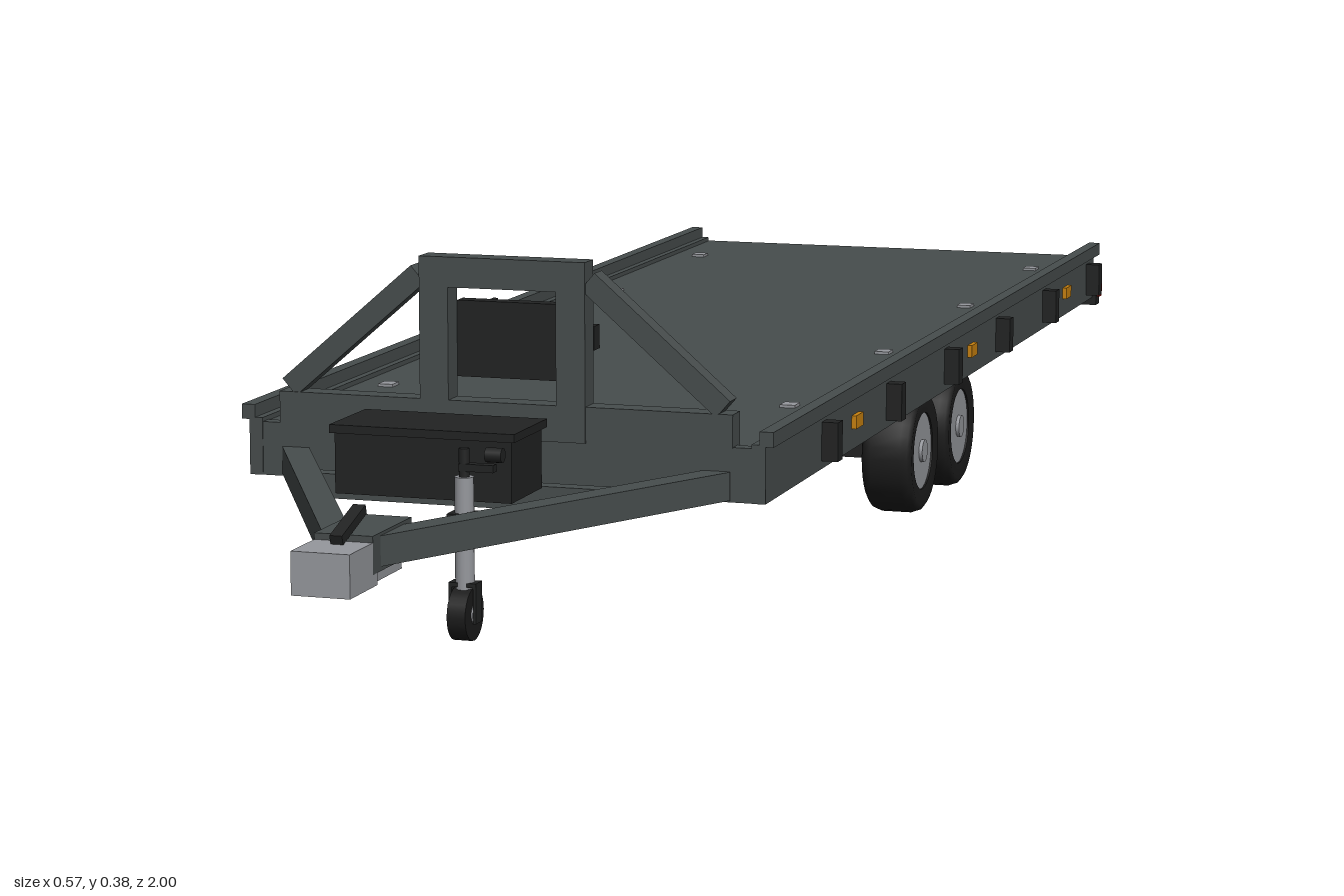
import * as THREE from 'three';

const mat = (name, color, side = THREE.FrontSide) => {
  const m = new THREE.MeshStandardMaterial({ color, side });
  m.name = name;
  return m;
};

export function createModel() {
  const root = new THREE.Group();
  root.name = 'flatbedTrailer';
  const steel = mat('darkGreySteel', 0x474d4d);
  const black = mat('blackPlastic', 0x222323);
  const rubber = mat('tyreRubber', 0x1c1c1c);
  const zinc = mat('zincGrey', 0x96989d);
  const amber = mat('amberLens', 0xc9820f);
  const red = mat('redLens', 0xb01a14);
  const white = mat('whiteLens', 0xc8c8c8);

  const add = (name, geo, m, x = 0, y = 0, z = 0) => {
    const mesh = new THREE.Mesh(geo, m);
    mesh.name = name;
    mesh.position.set(x, y, z);
    root.add(mesh);
    return mesh;
  };
  // box given by its limits
  const box = (name, m, x0, x1, y0, y1, z0, z1) =>
    add(name, new THREE.BoxGeometry(Math.abs(x1 - x0), y1 - y0, z1 - z0), m, (x0 + x1) / 2, (y0 + y1) / 2, (z0 + z1) / 2);
  // the same box on both sides
  const pair = (name, m, x0, x1, ...rest) => [1, -1].forEach(s => box(name, m, s * x0, s * x1, ...rest));
  // square bar between two points
  const bar = (name, m, a, b, w, h) => {
    const p = new THREE.Vector3(...a), q = new THREE.Vector3(...b);
    const mesh = add(name, new THREE.BoxGeometry(w, h, p.distanceTo(q)), m);
    mesh.position.copy(p).add(q).multiplyScalar(0.5);
    mesh.lookAt(q);
    return mesh;
  };
  // cylinder lying along x
  const axleCyl = (name, m, r, w, x, y, z, n = 24) =>
    add(name, new THREE.CylinderGeometry(r, r, w, n).rotateZ(Math.PI / 2), m, x, y, z);

  // deck, with a dark underside
  box('deck', steel, -0.265, 0.265, 0.194, 0.203, -0.98, 0.52);
  box('deckUnderside', black, -0.262, 0.262, 0.188, 0.194, -0.975, 0.515);

  // side rails with raised lip
  pair('sideRail', steel, 0.255, 0.269, 0.15, 0.208, -0.98, 0.53);
  pair('sideLip', steel, 0.263, 0.277, 0.206, 0.221, -0.98, 0.53);
  box('frontRail', steel, -0.262, 0.262, 0.15, 0.204, 0.515, 0.529);
  box('rearRail', steel, -0.262, 0.262, 0.15, 0.203, -0.985, -0.97);

  // side buckles and amber markers
  for (const z of [-0.945, -0.69, -0.44, -0.19, 0.065, 0.32])
    pair('lashingBuckle', black, 0.269, 0.286, 0.158, 0.198, z - 0.009, z + 0.009);
  for (const z of [0.2, -0.305, -0.81])
    pair('sideMarker', amber, 0.269, 0.274, 0.172, 0.186, z - 0.014, z + 0.014);

  // lashing plates set in the deck
  for (const z of [-0.83, -0.48, -0.1, 0.275])
    pair('lashingPlate', zinc, 0.212, 0.228, 0.203, 0.206, z - 0.01, z + 0.01);

  // underframe
  pair('mainBeam', steel, 0.092, 0.122, 0.152, 0.19, -0.97, 0.515);
  for (let i = 0; i < 9; i++) {
    const z = 0.36 - i * 0.15;
    box('crossMember', steel, -0.256, 0.256, 0.165, 0.19, z - 0.01, z + 0.01);
  }
  box('rampStorage', black, -0.15, 0.15, 0.138, 0.151, -0.975, -0.66);

  // axles, hangers and wheels
  const tyreProfile = [[0.044, -0.027], [0.062, -0.029], [0.068, -0.025], [0.071, -0.017], [0.071, 0.017],
    [0.068, 0.025], [0.062, 0.029], [0.044, 0.027], [0.044, -0.027]].map(p => new THREE.Vector2(...p));
  const tyreGeo = new THREE.LatheGeometry(tyreProfile, 32).rotateZ(Math.PI / 2);
  for (const z of [-0.235, -0.41]) {
    box('axleBeam', black, -0.176, 0.176, 0.061, 0.083, z - 0.011, z + 0.011);
    for (const s of [1, -1]) {
      add('tyre', tyreGeo, rubber, s * 0.205, 0.071, z);
      axleCyl('rim', zinc, 0.0445, 0.05, s * 0.205, 0.071, z, 32);
      axleCyl('hub', zinc, 0.013, 0.006, s * 0.231, 0.071, z, 16);
      box('hanger', steel, s * 0.089, s * 0.126, 0.082, 0.152, z - 0.014, z + 0.014);
      box('hangerPad', black, s * 0.092, s * 0.123, 0.122, 0.136, z - 0.03, z + 0.03);
    }
  }
  pair('suspensionBeam', black, 0.095, 0.12, 0.13, 0.142, -0.405, -0.24);

  // A-frame drawbar
  for (const s of [1, -1])
    bar('drawbar', steel, [s * 0.222, 0.166, 0.525], [s * 0.014, 0.166, 0.925], 0.026, 0.028);
  box('drawbarCrossbar', steel, -0.158, 0.158, 0.155, 0.179, 0.633, 0.651);
  box('couplingMount', steel, -0.028, 0.028, 0.148, 0.183, 0.85, 0.945);

  // coupling head and handle
  box('couplingHead', zinc, -0.028, 0.028, 0.137, 0.177, 0.935, 1.0);
  box('couplingBase', zinc, -0.022, 0.022, 0.137, 0.15, 0.86, 0.94);
  bar('couplingHandle', black, [0, 0.199, 0.905], [0, 0.181, 0.962], 0.012, 0.009);

  // tool box
  box('toolBox', black, -0.088, 0.088, 0.18, 0.238, 0.664, 0.748);
  box('toolBoxLid', black, -0.092, 0.092, 0.238, 0.246, 0.66, 0.752);

  // jockey wheel
  const jx = 0.057, jz = 0.79;
  add('jockeyTube', new THREE.CylinderGeometry(0.009, 0.009, 0.105, 16), zinc, jx, 0.159, jz);
  add('jockeyStem', new THREE.CylinderGeometry(0.005, 0.005, 0.03, 12), black, jx, 0.223, jz);
  box('jockeyCrank', black, jx - 0.004, jx + 0.03, 0.217, 0.224, jz - 0.005, jz + 0.005);
  axleCyl('jockeyCrankGrip', black, 0.007, 0.016, jx + 0.03, 0.233, jz, 12);
  box('jockeyClamp', black, jx - 0.013, jx + 0.02, 0.157, 0.178, jz - 0.012, jz + 0.012);
  axleCyl('jockeyWheel', rubber, 0.025, 0.018, jx, 0.083, jz);
  axleCyl('jockeyHub', zinc, 0.009, 0.021, jx, 0.083, jz, 16);
  for (const s of [1, -1])
    box('jockeyFork', black, jx + s * 0.0105, jx + s * 0.0135, 0.075, 0.112, jz - 0.008, jz + 0.008);
  box('jockeyForkTop', black, jx - 0.0135, jx + 0.0135, 0.109, 0.113, jz - 0.008, jz + 0.008);

  // headboard
  box('headboardBase', steel, -0.236, 0.236, 0.203, 0.236, 0.505, 0.53);
  const frame = new THREE.Shape([[-0.086, 0.2], [0.086, 0.2], [0.086, 0.378], [-0.086, 0.378]].map(p => new THREE.Vector2(...p)));
  frame.holes.push(new THREE.Path([[-0.056, 0.236], [-0.056, 0.348], [0.056, 0.348], [0.056, 0.236]].map(p => new THREE.Vector2(...p))));
  add('headboardFrame', new THREE.ExtrudeGeometry(frame, { depth: 0.026, bevelEnabled: false }), steel, 0, 0, 0.505);
  for (const s of [1, -1]) {
    const brace = new THREE.BoxGeometry(0.182, 0.022, 0.022).rotateZ(-s * Math.atan2(0.115, 0.133));
    add('headboardBrace', brace, steel, s * 0.157, 0.3, 0.518);
  }

  // winch
  box('winchPlate', black, -0.056, 0.056, 0.256, 0.332, 0.488, 0.505);
  pair('winchCheek', black, 0.032, 0.037, 0.262, 0.328, 0.452, 0.49);
  axleCyl('winchDrum', zinc, 0.025, 0.064, 0, 0.295, 0.465, 20);
  box('winchHousing', zinc, -0.034, 0.034, 0.268, 0.322, 0.442, 0.482);
  axleCyl('winchShaft', black, 0.006, 0.04, 0.055, 0.295, 0.465, 12);
  box('winchKnob', black, 0.066, 0.076, 0.283, 0.307, 0.456, 0.474);

  // rear light bar: lenses, from the outside inwards
  box('rearBar', steel, -0.272, 0.272, 0.145, 0.183, -0.992, -0.98);
  pair('lampHousing', black, 0.125, 0.274, 0.14, 0.182, -0.996, -0.976);
  const lens = [[amber, 0.235, 0.271], [red, 0.195, 0.233], [black, 0.165, 0.194], [white, 0.13, 0.163]];
  for (const [m, a, b] of lens)
    pair('rearLens', m, a, b, 0.145, 0.178, -1.0, -0.995);
  pair('endMarker', red, 0.271, 0.277, 0.15, 0.174, -0.998, -0.984);
  box('plateHolder', zinc, -0.06, 0.06, 0.146, 0.178, -0.997, -0.991);
  return root;
}
